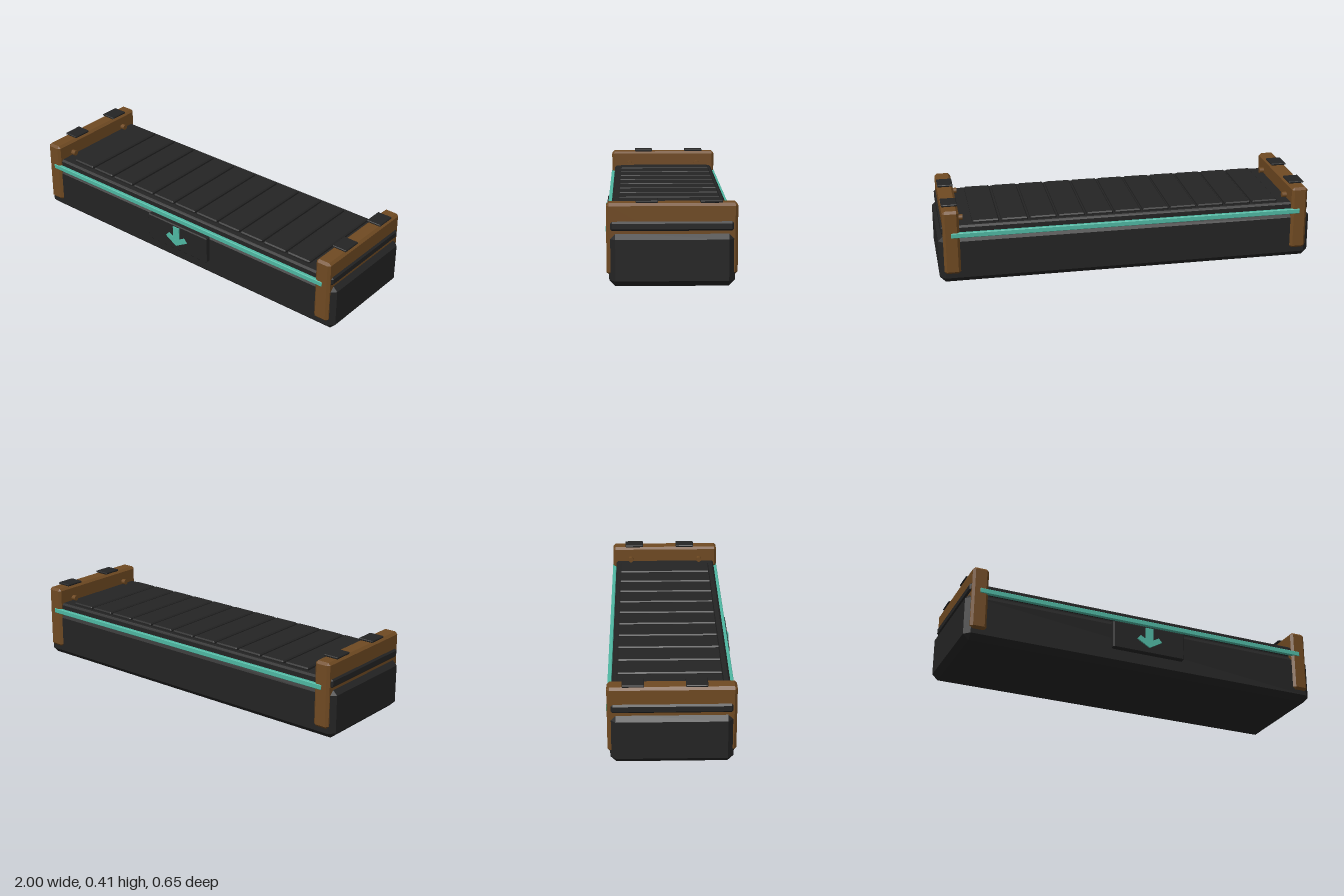
import * as THREE from 'three';
import { ConvexGeometry } from 'three/addons/geometries/ConvexGeometry.js';

const mat = (name, color) => {
  const m = new THREE.MeshStandardMaterial({ color });
  m.name = name;
  return m;
};

// Box with every edge cut by a flat chamfer c, given by its limits on each axis
function chamferBox([x0, x1], [y0, y1], [z0, z1], c) {
  const h = [(x1 - x0) / 2, (y1 - y0) / 2, (z1 - z0) / 2];
  const points = [];
  for (const sx of [-1, 1]) for (const sy of [-1, 1]) for (const sz of [-1, 1])
    for (let full = 0; full < 3; full++) {
      const p = h.map((v, i) => (i === full ? v : v - c));
      points.push(new THREE.Vector3(sx * p[0], sy * p[1], sz * p[2]));
    }
  return new ConvexGeometry(points).translate((x0 + x1) / 2, (y0 + y1) / 2, (z0 + z1) / 2);
}

export function createModel() {
  const dark = mat('charcoal', 0x242424);
  const brown = mat('brown', 0x704a22);
  const teal = mat('teal', 0x4fb8a3);
  const model = new THREE.Group();
  model.name = 'storageCrate';

  const add = (name, geometry, material, parent = model) => {
    const mesh = new THREE.Mesh(geometry, material);
    mesh.name = name;
    parent.add(mesh);
    return mesh;
  };

  const zc = -0.008; // body centre in z

  // Body, seam core and lid
  add('body', chamferBox([-1, 1], [0, 0.26], [-0.308, 0.292], 0.03), dark);
  add('seamCore', new THREE.BoxGeometry(1.8, 0.04, 0.54).translate(0, 0.265, zc), dark);
  add('lid', chamferBox([-0.985, 0.985], [0.268, 0.315], [-0.302, 0.287], 0.01), dark);

  // Slats across the lid
  const slats = new THREE.Group();
  slats.name = 'lidSlats';
  model.add(slats);
  for (let i = -5; i <= 5; i++) {
    const x = i * 0.15;
    add('slat', chamferBox([x - 0.069, x + 0.069], [0.3, 0.33], [-0.277, 0.253], 0.006), dark, slats);
  }

  // End brackets with pads and bolts
  for (const s of [-1, 1]) {
    const end = new THREE.Group();
    end.name = s > 0 ? 'leftBracket' : 'rightBracket';
    model.add(end);
    const span = (a, b) => (s > 0 ? [a, b] : [-b, -a]);
    add('bracket', chamferBox(span(0.89, 0.976), [0.055, 0.401], [-0.321, 0.305], 0.013), brown, end);
    for (const z of [0.112, -0.194])
      add('topPad', chamferBox(span(0.892, 0.974), [0.402, 0.413], [z - 0.053, z + 0.053], 0.003), dark, end);
    for (const z of [0.198, -0.214]) {
      const bolt = add('bolt', new THREE.CylinderGeometry(0.015, 0.015, 0.03, 12), brown, end);
      bolt.rotation.z = Math.PI / 2;
      bolt.position.set(s * 0.88, 0.33, z);
    }
  }

  // Long trim rails, front and back
  for (const [name, z] of [['frontRail', 0.298], ['backRail', -0.314]])
    add(name, chamferBox([-0.935, 0.935], [0.256, 0.283], [z - 0.01, z + 0.01], 0.003), teal);

  // Front panel with a downward arrow
  add('frontPanel', chamferBox([-0.205, 0.205], [0.09, 0.243], [0.285, 0.318], 0.005), dark);
  const arrow = new THREE.Group();
  arrow.name = 'arrow';
  arrow.position.z = 0.321;
  model.add(arrow);
  add('arrowShaft', new THREE.BoxGeometry(0.042, 0.09, 0.008).translate(0, 0.188, 0), teal, arrow);
  const outline = [[0, 0.12], [0.072, 0.162], [0.052, 0.184], [0, 0.154], [-0.052, 0.184], [-0.072, 0.162]];
  const head = new THREE.Shape(outline.map(([x, y]) => new THREE.Vector2(x, y)));
  add('arrowHead', new THREE.ExtrudeGeometry(head, { depth: 0.009, bevelEnabled: false }).translate(0, 0, -0.0045), teal, arrow);

  return model;
}
